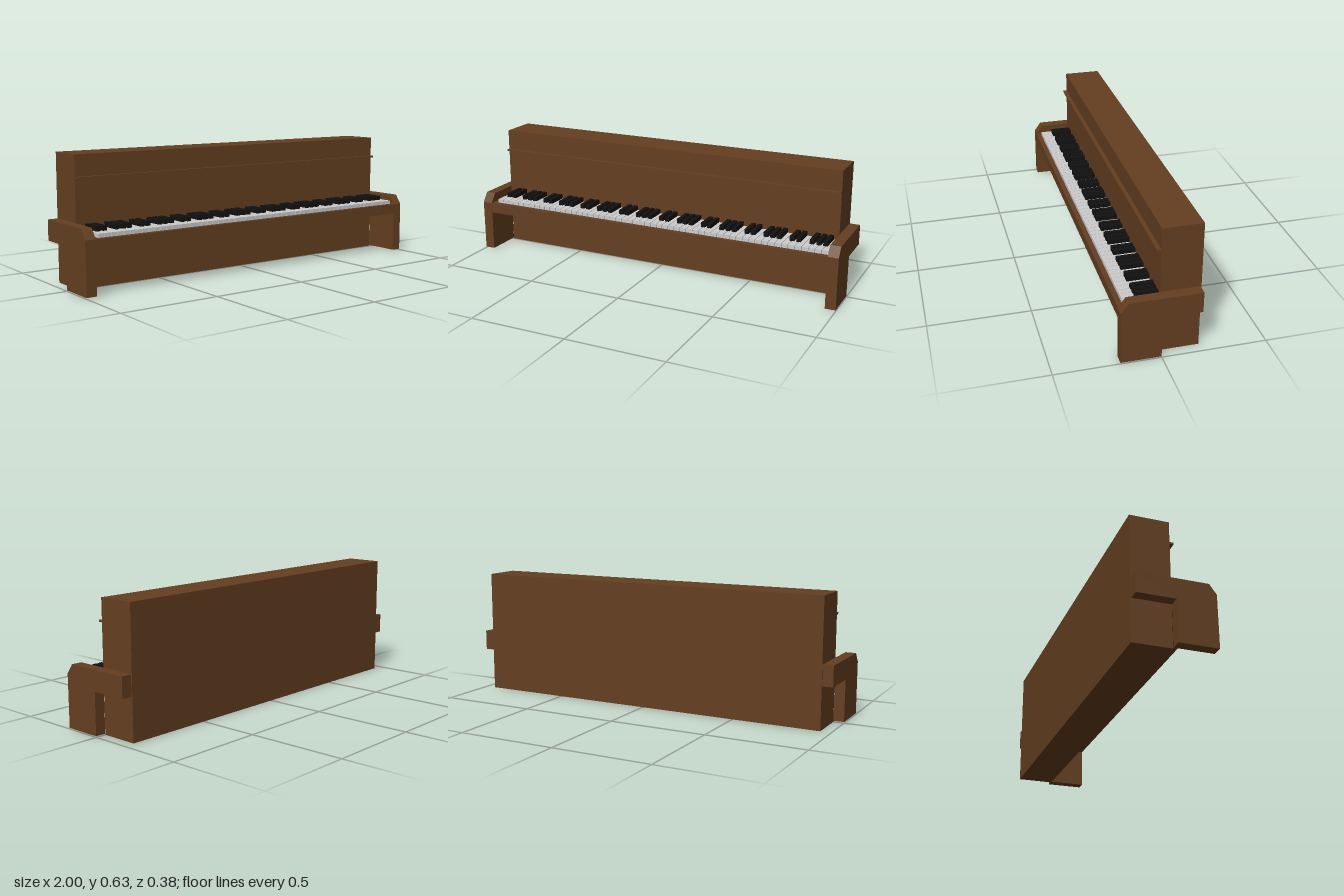
import * as THREE from 'three';

export function createModel() {
  const model = new THREE.Group();
  model.name = 'uprightPiano';

  const wood = new THREE.MeshStandardMaterial({ color: 0x653f20 });
  const ivory = new THREE.MeshStandardMaterial({ color: 0xffffff });
  const ebony = new THREE.MeshStandardMaterial({ color: 0x111111 });

  // Box given by its min and max corners
  function box(name, min, max, material, parent = model) {
    const size = max.map((v, i) => v - min[i]);
    const mesh = new THREE.Mesh(new THREE.BoxGeometry(...size), material);
    mesh.position.set(...min.map((v, i) => v + size[i] / 2));
    mesh.name = name;
    parent.add(mesh);
    return mesh;
  }

  const half = 0.947;

  // Tall body, music ledge and the bed that carries the keys
  box('cabinet', [-half, 0, -0.191], [half, 0.635, 0], wood);
  box('musicLedge', [-half, 0.522, 0], [half, 0.531, 0.02], wood);
  box('keyBed', [-half, 0.213, 0], [half, 0.267, 0.191], wood);

  // Side cheeks: front leg, chamfered arm and a stub running to the back
  const profile = new THREE.Shape([
    [0.192, 0.005], [0.192, 0.267], [0.157, 0.315], [-0.186, 0.315],
    [-0.186, 0.213], [0.001, 0.213], [0.001, 0.005],
  ].map(([z, y]) => new THREE.Vector2(-z, y)));
  const cheekGeometry = new THREE.ExtrudeGeometry(profile, { depth: 1 - half, bevelEnabled: false });
  cheekGeometry.rotateY(Math.PI / 2); // shape x becomes -z, depth becomes +x
  for (const [name, x] of [['leftCheek', half], ['rightCheek', -1]]) {
    const cheek = new THREE.Mesh(cheekGeometry, wood);
    cheek.position.x = x;
    cheek.name = name;
    model.add(cheek);
  }

  // Keyboard: eight octaves of seven white and five black keys
  const keyboard = new THREE.Group();
  keyboard.name = 'keyboard';
  model.add(keyboard);
  const start = -0.921, pitch = 0.0333, gap = 0.0012;
  for (let i = 0; i < 56; i++) {
    const x = start + i * pitch;
    box('whiteKey', [x + gap, 0.267, 0], [x + pitch - gap, 0.286, 0.166], ivory, keyboard);
    if ([1, 2, 4, 5, 6].includes(i % 7)) {
      box('blackKey', [x - 0.011, 0.28, 0], [x + 0.011, 0.309, 0.108], ebony, keyboard);
    }
  }

  return model;
}
